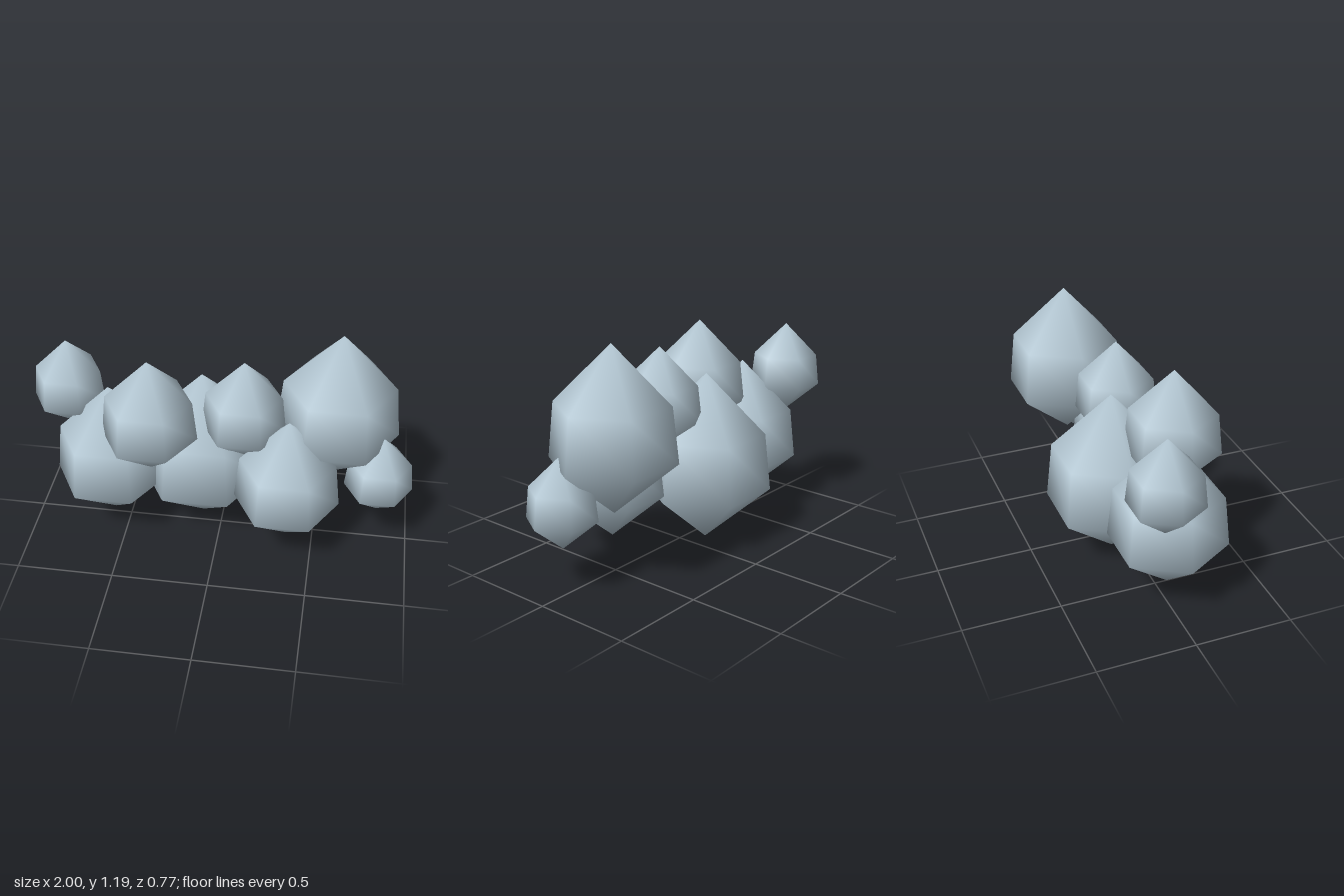
import * as THREE from 'three';
import { mergeVertices } from 'three/addons/utils/BufferGeometryUtils.js';

// Six-sided puff of ring radius 1, standing on y = 0, with welded smooth normals
const HEIGHT = 2.65;
function puffGeometry() {
  const profile = [[0, 0], [1, 0.322], [0.905, 0.655], [0, 1]]
    .map(([r, h]) => new THREE.Vector2(r, h * HEIGHT));
  const lathe = new THREE.LatheGeometry(profile, 6, Math.PI / 2);
  lathe.deleteAttribute('uv');
  lathe.deleteAttribute('normal');
  const geometry = mergeVertices(lathe, 1e-3);
  geometry.computeVertexNormals();
  return geometry;
}

// name, x, bottom y, z, radius
const PUFFS = [
  ['lowerLeftPuff', 0.36, 0.10, 0.15, 0.271],
  ['lowerMiddlePuff', -0.11, 0.0, -0.085, 0.341],
  ['lowerRightPuff', -0.575, 0.065, 0.03, 0.299],
  ['upperLargePuff', 0.59, 0.36, -0.085, 0.315],
  ['upperMiddlePuff', 0.12, 0.50, 0.03, 0.215],
  ['upperFrontPuff', -0.343, 0.46, 0.147, 0.244],
  ['rightEndPuff', -0.812, 0.54, -0.09, 0.188],
  ['leftEndPuff', 0.824, 0.223, 0.03, 0.176],
];

export function createModel() {
  const group = new THREE.Group();
  group.name = 'cloud';
  const material = new THREE.MeshStandardMaterial({ color: 0xb8ccd8 });
  material.name = 'paleBlue';
  const geometry = puffGeometry();
  for (const [name, x, y, z, radius] of PUFFS) {
    const puff = new THREE.Mesh(geometry, material);
    puff.name = name;
    puff.position.set(x, y, z);
    puff.scale.setScalar(radius);
    group.add(puff);
  }
  return group;
}
